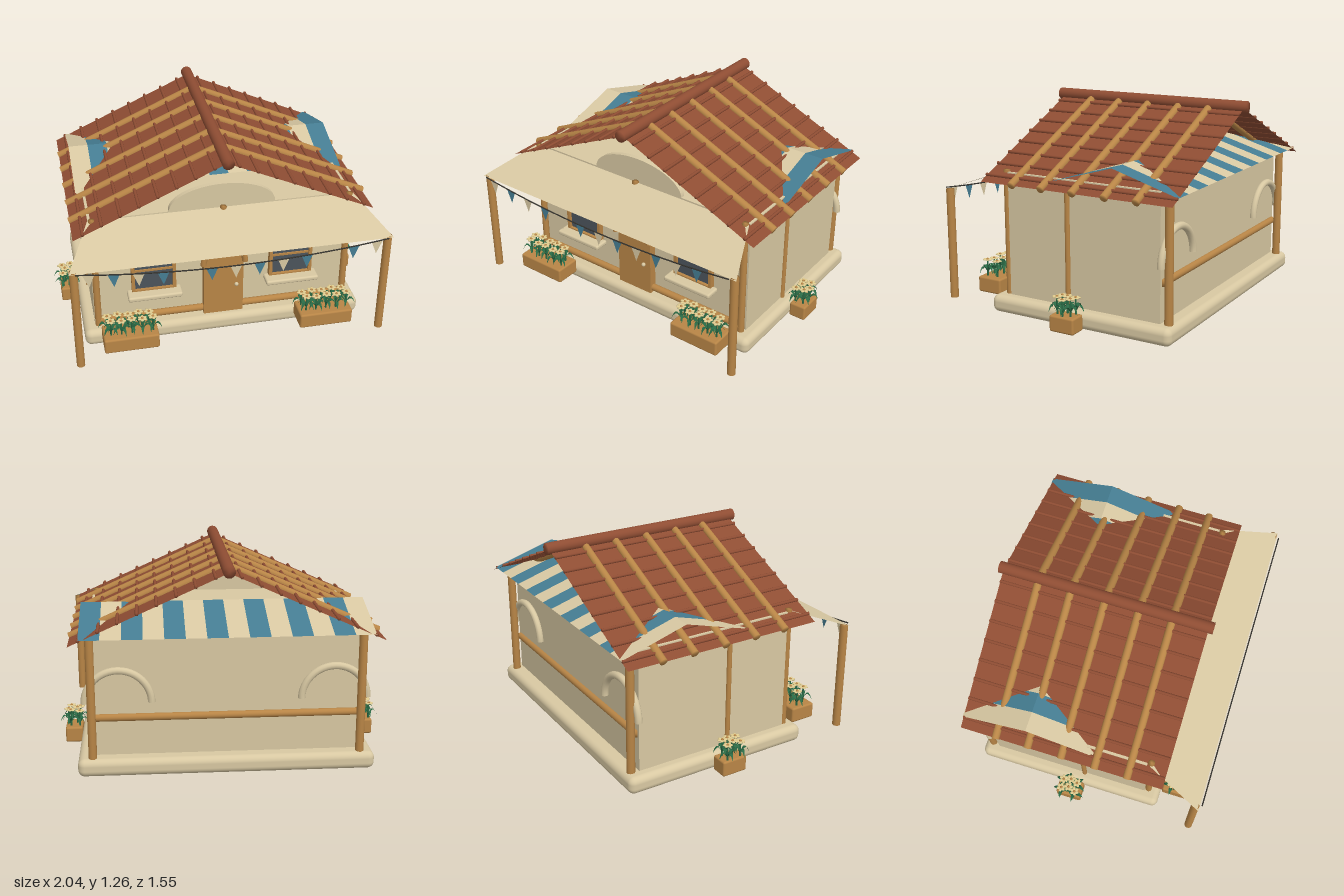
import * as THREE from 'three';
import { mergeVertices } from 'three/addons/utils/BufferGeometryUtils.js';
import { RoundedBoxGeometry } from 'three/addons/geometries/RoundedBoxGeometry.js';

const mat = (name, color, side = THREE.FrontSide) => {
  const m = new THREE.MeshStandardMaterial({ color, side });
  m.name = name;
  return m;
};

export function createModel() {
  const plaster = mat('plaster', 0xd8c8a2);
  const wood = mat('wood', 0xb88546);
  const tile = mat('roof tile', 0x8f4d33, THREE.DoubleSide);
  const cream = mat('cream cloth', 0xd8c8a2, THREE.DoubleSide);
  const blue = mat('blue cloth', 0x457d92, THREE.DoubleSide);
  const glass = mat('window glass', 0x4b545b);
  const green = mat('leaf green', 0x2a6a45, THREE.DoubleSide);
  const petal = mat('petal', 0xe0cc90);
  const rope = mat('rope', 0x35332e);

  const root = new THREE.Group();
  root.name = 'cottage';
  root.position.x = -0.013;

  const add = (name, geo, material, x = 0, y = 0, z = 0, parent = root) => {
    const m = new THREE.Mesh(geo, material);
    m.name = name;
    m.position.set(x, y, z);
    parent.add(m);
    return m;
  };
  const box = (name, w, h, d, material, x, y, z, parent) =>
    add(name, new THREE.BoxGeometry(w, h, d), material, x, y, z, parent);
  const V = (x, y, z) => new THREE.Vector3(x, y, z);

  // Round pole between two points, with normals softened over its ends
  const pole = (name, a, b, r, material = wood, sides = 14) => {
    let g = new THREE.CylinderGeometry(r, r, a.distanceTo(b), sides);
    g.deleteAttribute('uv');
    g.deleteAttribute('normal');
    g = mergeVertices(g);
    g.computeVertexNormals();
    const m = add(name, g, material);
    m.position.copy(a).add(b).multiplyScalar(0.5);
    m.quaternion.setFromUnitVectors(V(0, 1, 0), b.clone().sub(a).normalize());
    return m;
  };

  // Four-cornered sheet
  const quad = (name, a, b, c, d, material) => {
    const g = new THREE.BufferGeometry().setFromPoints([a, b, c, a, c, d]);
    g.computeVertexNormals();
    return add(name, g, material);
  };

  // Base and walls
  add('base', new RoundedBoxGeometry(1.755, 0.107, 1.215, 4, 0.04), plaster, 0, 0.0535, -0.1175);
  box('walls', 1.615, 0.755, 1.02, plaster, 0, 0.4825, -0.12);
  const dome = new THREE.Shape();
  dome.absellipse(0, 0, 0.325, 0.155, 0, Math.PI);
  add('gableArch', new THREE.ExtrudeGeometry(dome, { depth: 0.03, bevelEnabled: false, curveSegments: 28 }),
    plaster, 0, 0.858, 0.36);

  // Wall timbers
  for (const x of [-0.785, 0, 0.785]) pole('frontWallPost', V(x, 0.1, 0.412), V(x, 0.87, 0.412), 0.021);
  for (const y of [0.14, 0.755]) pole('frontBeam', V(-0.79, y, 0.41), V(0.79, y, 0.41), 0.022);
  pole('backBeam', V(-0.79, 0.34, -0.635), V(0.79, 0.34, -0.635), 0.022);
  for (const s of [-1, 1]) {
    pole('backPost', V(s * 0.79, 0.1, -0.675), V(s * 0.79, 0.84, -0.675), 0.025);
    pole('sidePost', V(s * 0.808, 0.1, -0.025), V(s * 0.808, 0.84, -0.025), 0.016);
    pole('porchPost', V(s * 0.928, 0.07, 0.728), V(s * 0.928, 0.745, 0.728), 0.025);
    add('backArch', new THREE.TorusGeometry(0.195, 0.022, 10, 24, Math.PI), plaster, s * 0.635, 0.435, -0.645);
  }

  // Door with rounded top corners, arch and knob
  const door = new THREE.Shape();
  door.moveTo(-0.125, 0).lineTo(0.125, 0).lineTo(0.125, 0.4);
  door.quadraticCurveTo(0.125, 0.437, 0.088, 0.437).lineTo(-0.088, 0.437);
  door.quadraticCurveTo(-0.125, 0.437, -0.125, 0.4);
  add('door', new THREE.ExtrudeGeometry(door, { depth: 0.055, bevelEnabled: false }), wood, 0, 0.105, 0.385);
  add('doorArch', new THREE.TorusGeometry(0.13, 0.019, 10, 24, Math.PI), wood, 0, 0.49, 0.457);
  add('doorKnob', new THREE.SphereGeometry(0.013, 12, 8), cream, 0.08, 0.315, 0.45);

  // Sash windows
  for (const x of [-0.432, 0.432]) {
    const w = new THREE.Group();
    w.name = 'window';
    w.position.set(x, 0.47, 0.39);
    root.add(w);
    box('windowGlass', 0.25, 0.28, 0.02, glass, 0, 0, 0.005, w);
    for (const s of [-1, 1]) {
      box('windowJamb', 0.02, 0.3, 0.04, wood, s * 0.127, 0, 0.015, w);
      box('windowRail', 0.27, 0.02, 0.04, wood, 0, s * 0.143, 0.015, w);
    }
    box('windowBar', 0.25, 0.014, 0.02, wood, 0, 0, 0.013, w);
    add('windowSill', new RoundedBoxGeometry(0.335, 0.032, 0.1, 3, 0.012), plaster, 0, -0.157, 0.05, w);
  }

  // Roof slopes, battens, rafters and ridge
  const roofX = 0.907, topY = 1.215, eaveY = 0.808;
  const onRoof = (s, t, z, lift = 0) => V(s * roofX * t, topY + (eaveY - topY) * t + lift, z);
  for (const s of [-1, 1]) {
    quad('roofSlope', onRoof(s, 0, 0.515), onRoof(s, 1, 0.515), onRoof(s, 1, -0.752), onRoof(s, 0, -0.752), tile);
    for (let i = 0; i < 8; i++) {
      const t = 0.08 + i * 0.122;
      pole('roofBatten', onRoof(s, t, 0.515, 0.006), onRoof(s, t, -0.752, 0.006), 0.01, tile, 8);
    }
    for (const z of [0.295, 0.092, -0.117, -0.328, -0.53])
      pole('rafter', onRoof(s, 0, z), onRoof(s, 1, z), 0.024);
  }
  pole('ridgePole', V(0, 1.225, 0.543), V(0, 1.225, -0.775), 0.036, tile, 18);

  // Striped canopy folded over a line along x
  const stripes = 14, cw = 1.695 / stripes;
  for (let i = 0; i < stripes; i++) {
    const a = -0.8475 + i * cw, b = a + cw;
    for (const z of [0.065, -0.757])
      quad('canopyStripe', V(a, 0.965, -0.346), V(a, 0.845, z), V(b, 0.845, z), V(b, 0.965, -0.346), i % 2 ? blue : cream);
  }

  // Porch awning
  quad('porchAwning', V(-0.81, 0.865, 0.41), V(-0.955, 0.742, 0.755), V(0.955, 0.742, 0.755), V(0.81, 0.865, 0.41), cream);

  // Bunting on a sagging rope
  const sag = x => 0.685 + 0.063 * (x / 0.92) ** 2;
  const line = [];
  for (let i = 0; i <= 12; i++) {
    const x = -0.92 + i * 0.92 / 6;
    line.push(V(x, sag(x), 0.768));
  }
  add('buntingRope', new THREE.TubeGeometry(new THREE.CatmullRomCurve3(line), 40, 0.004, 6), rope);
  const flag = new THREE.Shape([[-0.034, 0], [0, -0.085], [0.034, 0]].map(p => new THREE.Vector2(...p)));
  for (let i = -6; i <= 6; i++)
    add('pennant', new THREE.ShapeGeometry(flag), i % 2 ? blue : cream, i * 0.141, sag(i * 0.141), 0.768);

  // Arching leaf blade built from narrow cross-sections
  const blade = new THREE.PlaneGeometry(1, 1, 2, 5);
  const bp = blade.attributes.position;
  for (let i = 0; i < bp.count; i++) {
    const t = 0.5 - bp.getY(i), side = bp.getX(i);
    bp.setXYZ(i, 0.058 * t, 0.05 * Math.sin(t * Math.PI * 0.9) - 0.015 * t, side * 0.022 * Math.sin(Math.PI * (0.1 + 0.9 * t)));
  }
  blade.computeVertexNormals();
  const petalGeo = new THREE.SphereGeometry(0.013, 8, 5).scale(1, 0.35, 0.8);
  const stemGeo = new THREE.CylinderGeometry(0.005, 0.006, 0.1, 6);
  const heartGeo = new THREE.SphereGeometry(0.009, 8, 6);

  const flower = (x, y, z, turn) => {
    const f = new THREE.Group();
    f.name = 'flower';
    f.position.set(x, y, z);
    f.rotation.y = turn;
    root.add(f);
    add('stem', stemGeo, green, 0, 0.05, 0, f);
    for (let i = 0; i < 4; i++) add('leaf', blade, green, 0, 0.022, 0, f).rotation.y = i * Math.PI / 2;
    for (let i = 0; i < 6; i++) {
      const a = i * Math.PI / 3;
      add('petal', petalGeo, petal, Math.cos(a) * 0.018, 0.104, -Math.sin(a) * 0.018, f).rotation.y = a;
    }
    add('flowerHeart', heartGeo, wood, 0, 0.105, 0, f);
  };

  // Planters with a grid of flowers
  const planter = (x, y, z, w, d, cols, rows, sx, sz) => {
    add('planter', new RoundedBoxGeometry(w, 0.098, d, 2, 0.012), wood, x, y + 0.049, z);
    for (let i = 0; i < cols; i++)
      for (let j = 0; j < rows; j++)
        flower(x + (i - (cols - 1) / 2) * sx + (j % 2 ? 0.008 : -0.008), y + 0.093 + ((i + j) % 2) * 0.008,
          z + (j - (rows - 1) / 2) * sz, i * 1.3 + j * 0.7);
  };
  for (const s of [-1, 1]) {
    planter(s * 0.609, 0.07, 0.582, 0.335, 0.165, 5, 2, 0.064, 0.06);
    planter(s * 0.931, 0.005, -0.087, 0.108, 0.163, 2, 3, 0.055, 0.045);
  }

  const model = new THREE.Group();
  model.name = 'model';
  model.add(root);
  return model;
}
